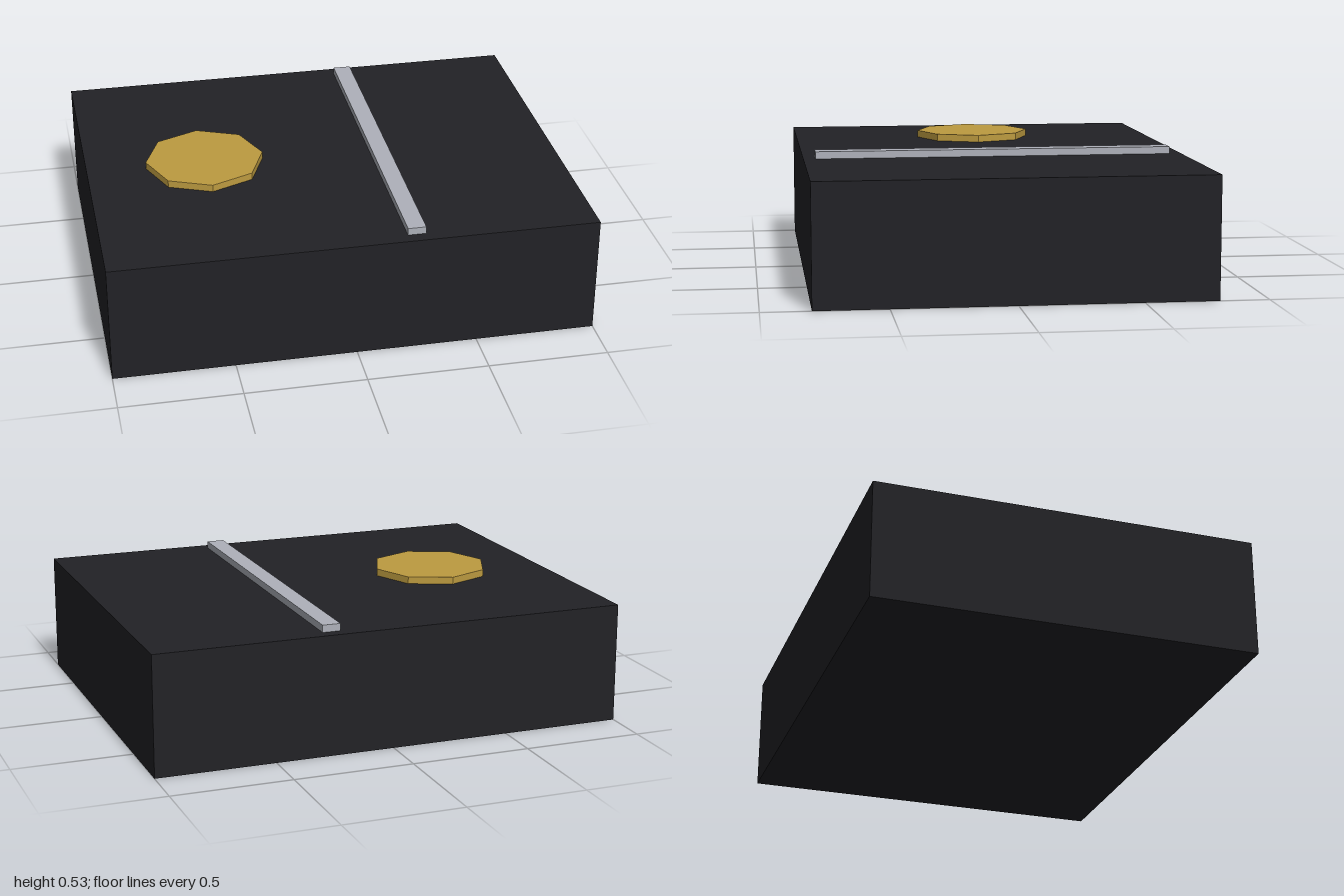
import * as THREE from 'three';

export function createModel() {
  const model = new THREE.Group();

  const addPart = (name, geometry, color, x, y) => {
    const material = new THREE.MeshStandardMaterial({ color, flatShading: true });
    const mesh = new THREE.Mesh(geometry, material);
    mesh.name = name;
    mesh.position.set(x, y, 0);
    model.add(mesh);
  };

  // Dark rectangular block
  addPart('body', new THREE.BoxGeometry(2, 0.5, 1.6), 0x222226, 0, 0.25);

  // Raised eight-sided gold disc, sunk slightly into the block
  addPart('goldDisc', new THREE.CylinderGeometry(0.25, 0.25, 0.06, 8), 0xbd9b40, -0.5, 0.5);

  // Raised silver strip running front to back
  addPart('silverStrip', new THREE.BoxGeometry(0.075, 0.06, 1.5), 0xaeb1ba, 0.25, 0.5);

  return model;
}
